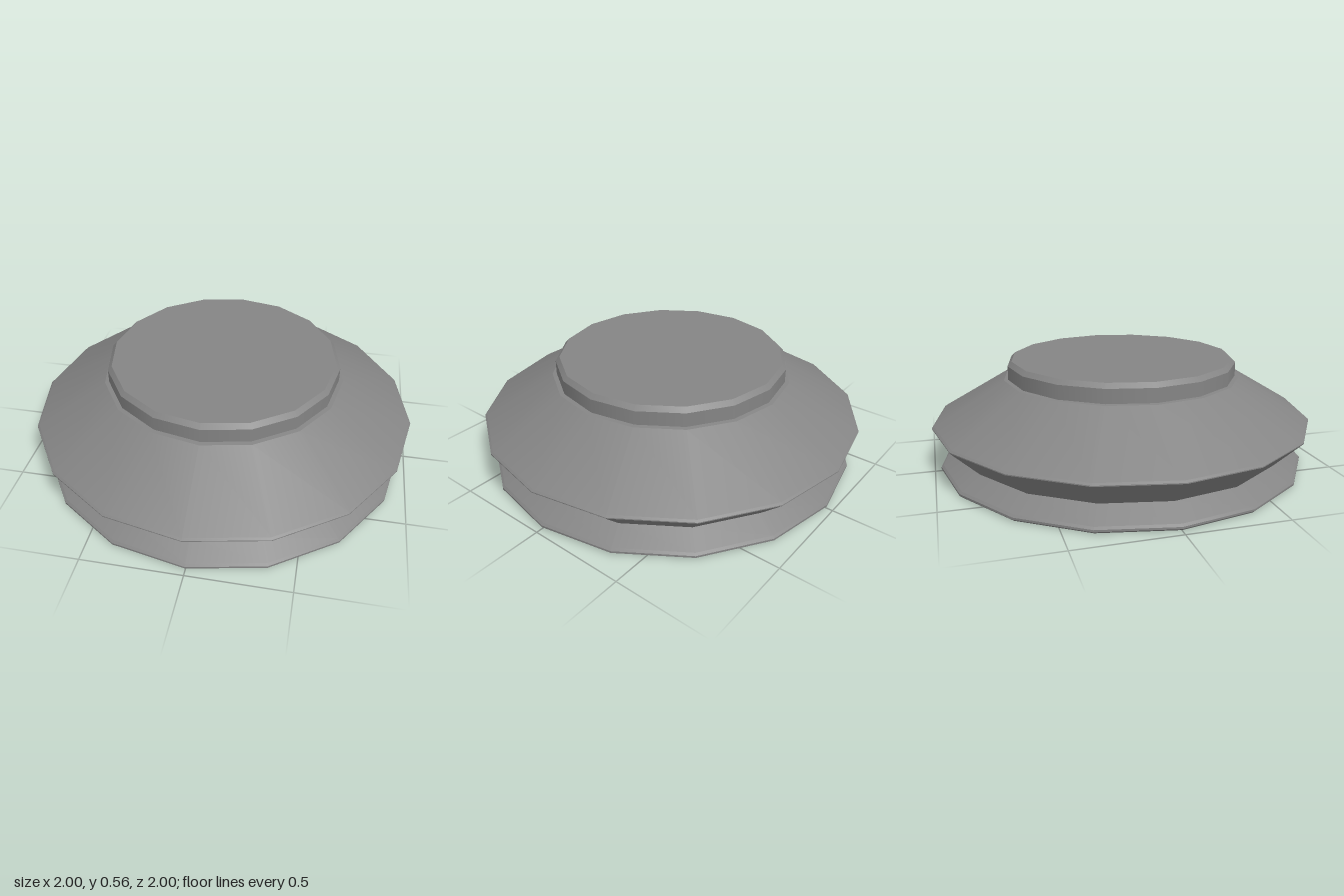
import * as THREE from 'three';
import { mergeGeometries } from 'three/addons/utils/BufferGeometryUtils.js';

const SIDES = 16;

// Revolve a [radius, height] profile band by band: smooth around the axis, sharp along the profile
function revolve(name, profile, material) {
  const points = profile.map(([r, y]) => new THREE.Vector2(r, y));
  const bands = points.slice(1).map((p, i) => new THREE.LatheGeometry([points[i], p], SIDES));
  const mesh = new THREE.Mesh(mergeGeometries(bands), material);
  mesh.name = name;
  return mesh;
}

export function createModel() {
  const group = new THREE.Group();
  group.name = 'bellowsCup';
  const material = new THREE.MeshStandardMaterial({ color: 0x858585 });

  // Hollow bellows: inside from the ceiling down to the lip, then up the outside
  group.add(revolve('bellows', [
    [0, 0.346], [0.59, 0.346],     // ceiling
    [0.81, 0.217], [0.676, 0.058], // inner fold
    [0.79, 0],                     // mouth
    [0.957, 0], [0.968, 0.01], [0.968, 0.02], [0.957, 0.03], // lip edge
    [0.857, 0.09],                 // groove
    [0.992, 0.222], [1, 0.23], [1, 0.235], [0.99, 0.243], // outer fold
    [0.625, 0.46], [0.6, 0.462],   // shoulder
  ], material));

  // Solid collar with a bevelled top edge
  group.add(revolve('collar', [
    [0.603, 0.46], [0.603, 0.533], [0.582, 0.556], [0, 0.556],
  ], material));

  return group;
}
